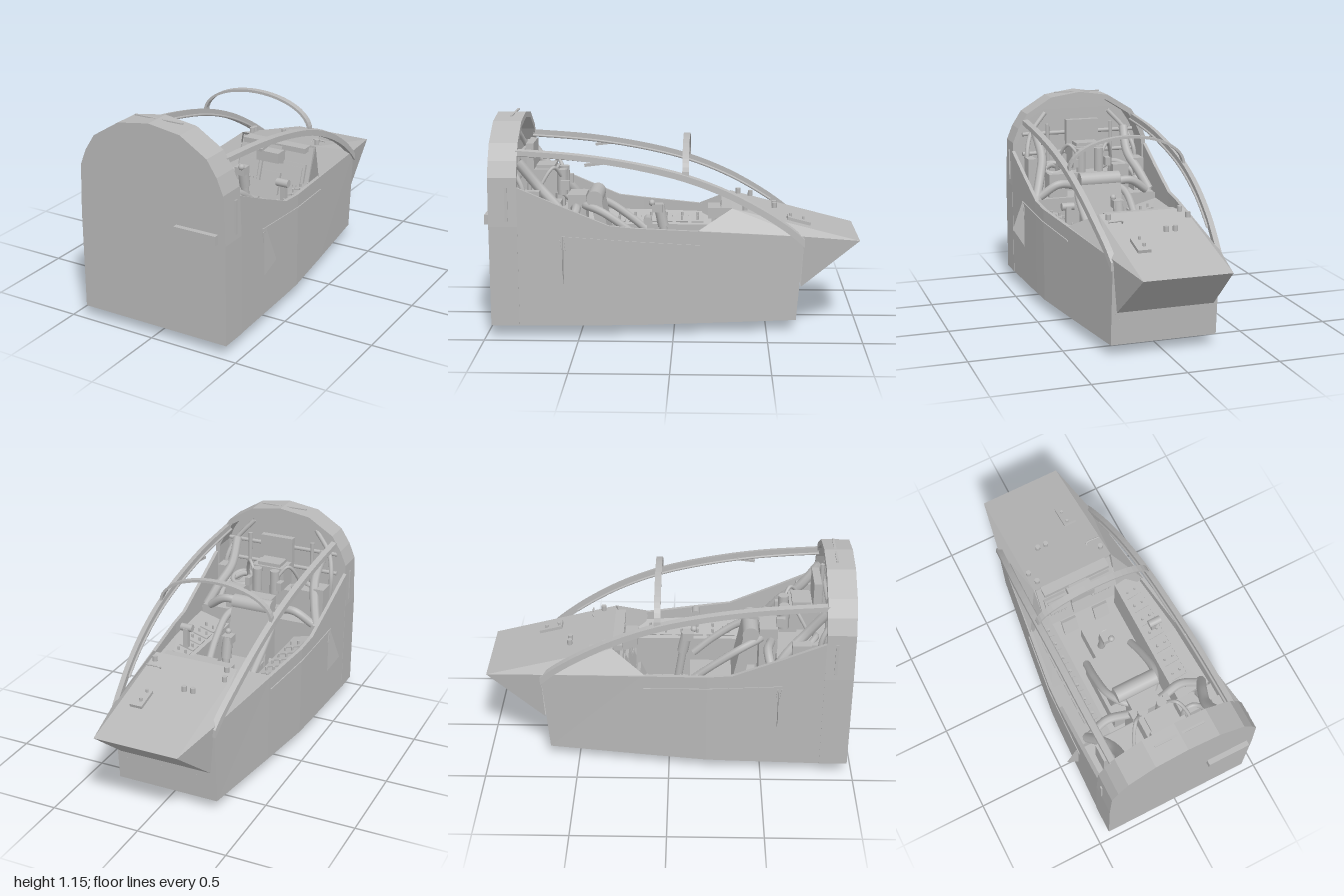
import * as THREE from 'three';

export function createModel() {
  const root = new THREE.Group();
  root.name = 'cockpit';
  const grey = new THREE.MeshStandardMaterial({ color: 0xb8b8b8, side: THREE.DoubleSide });
  grey.name = 'primer grey';

  const add = (name, geo, pos = [0, 0, 0], rot = [0, 0, 0]) => {
    const m = new THREE.Mesh(geo, grey);
    m.name = name;
    m.position.set(...pos);
    m.rotation.set(...rot);
    root.add(m);
    return m;
  };
  const box = (name, size, pos, rot) => add(name, new THREE.BoxGeometry(...size), pos, rot);
  const cyl = (name, r, h, pos, rot, n = 12) => add(name, new THREE.CylinderGeometry(r, r, h, n), pos, rot);
  const tube = (name, pts, r) => add(name, new THREE.TubeGeometry(
    new THREE.CatmullRomCurve3(pts.map(p => new THREE.Vector3(...p))), 28, r, 8));

  // flat-shaded polygons, each a fan of corners
  const faces = (name, polys) => {
    const v = [];
    for (const p of polys)
      for (let i = 1; i < p.length - 1; i++) v.push(...p[0], ...p[i], ...p[i + 1]);
    const g = new THREE.BufferGeometry();
    g.setAttribute('position', new THREE.Float32BufferAttribute(v, 3));
    g.computeVertexNormals();
    return add(name, g);
  };
  // skin through closed rings of points, with optional end caps
  const loft = (name, rings, caps = false) => {
    const polys = [];
    for (let i = 0; i < rings.length - 1; i++) {
      const a = rings[i], b = rings[i + 1];
      a.forEach((p, j) => {
        const k = (j + 1) % a.length;
        polys.push([p, a[k], b[k], b[j]]);
      });
    }
    if (caps) polys.push([...rings[0]].reverse(), rings[rings.length - 1]);
    return faces(name, polys);
  };
  const shapeOf = half => {
    const mirrored = half.filter(p => p[0] > 0).map(([x, y]) => [-x, y]).reverse();
    return new THREE.Shape([...half, ...mirrored].map(p => new THREE.Vector2(...p)));
  };

  // hull tub: z, half width, sill height
  const stations = [[0.82, 0.428, 0.81], [0.58, 0.42, 0.705], [0.34, 0.412, 0.605],
    [0.2, 0.405, 0.59], [-0.15, 0.36, 0.565], [-0.66, 0.29, 0.525]];
  loft('hull', stations.map(([z, w, s], i) => {
    const lean = i === stations.length - 1 ? 0.08 : 0, t = w - 0.02, f = 0.2;
    return [[-w, s], [-w, 0.06], [w, 0.06], [w, s], [t, s], [t, f], [-t, f], [-t, s]]
      .map(([x, y]) => [x, y, z - lean * (y - 0.06)]);
  }));
  faces('frontWall', [[[-0.29, 0.06, -0.66], [-0.29, 0.525, -0.697], [0.29, 0.525, -0.697], [0.29, 0.06, -0.66]]]);

  // rear hood shell with its closing bulkhead
  const arch = [[0.43, 0.06], [0.43, 0.6], [0.42, 0.86], [0.385, 0.945], [0.33, 1.03], [0.18, 1.123], [0, 1.15]];
  const inner = [[0.405, 0.09], [0.405, 0.6], [0.395, 0.85], [0.36, 0.93], [0.31, 1.005], [0.17, 1.093], [0, 1.118]];
  const hood = shapeOf(arch);
  hood.holes.push(shapeOf(inner));
  add('hood', new THREE.ExtrudeGeometry(hood, { depth: 0.15, bevelEnabled: false }), [0, 0, 0.82]);
  add('rearBulkhead', new THREE.ExtrudeGeometry(shapeOf(arch), { depth: 0.012, bevelEnabled: false }), [0, 0, 0.96]);
  box('rearStrip', [0.24, 0.05, 0.03], [0.27, 0.63, 0.985]);
  box('hoodTopStrip', [0.28, 0.006, 0.012], [0, 1.145, 0.88]);

  // cross frame that pokes through the hull
  add('crossFrame', new THREE.ShapeGeometry(shapeOf(
    [[0.245, 0], [0.49, 0.39], [0.43, 0.55]])), [0, 0, 0.58]);
  box('bellyFitting', [0.012, 0.05, 0.02], [0, 0.045, -0.035], [0.3, 0, 0]);

  // nose wedge and sloping glareshield
  const tip = x => [x * 0.235, 0.49, -1], low = x => [x * 0.265, 0.24, -0.685];
  const side = x => [x * 0.29, 0.525, -0.697], crest = x => [x * 0.24, 0.665, -0.31];
  const wing = x => [x * 0.355, 0.568, -0.13], foot = x => [x * 0.23, 0.34, -0.2];
  faces('noseUnderside', [[tip(-1), tip(1), low(1), low(-1)]]);
  faces('glareshield', [[tip(-1), crest(-1), crest(1), tip(1)]]);
  for (const x of [-1, 1]) {
    faces('noseCheek', [[tip(x), side(x), low(x)]]);
    faces('glareshieldSide', [[tip(x), side(x), crest(x)], [side(x), wing(x), crest(x)],
      [crest(x), wing(x), foot(x)]]);
  }

  // instrument panel, its brow and screens
  const px = 0.2, panel = new THREE.Group();
  panel.name = 'instrumentPanel';
  panel.position.set(0, 0.49, -0.26);
  panel.rotation.x = -0.32;
  root.add(panel);
  const onPanel = (name, size, x, y, z) => {
    const m = box(name, size, [x, y, z]);
    panel.add(m);
  };
  onPanel('panelPlate', [0.46, 0.34, 0.015], 0, 0, 0);
  for (const x of [-0.14, 0.14]) {
    onPanel('screenFrame', [0.13, 0.14, 0.025], x, 0, 0.012);
    onPanel('screen', [0.1, 0.1, 0.008], x, 0, 0.028);
    for (let i = -2; i <= 2; i++) onPanel('screenKey', [0.014, 0.01, 0.012], x + i * 0.022, -0.06, 0.028);
  }
  onPanel('centreUnit', [0.11, 0.1, 0.05], 0, 0.1, 0.03);
  onPanel('centreScreen', [0.11, 0.13, 0.03], 0, -0.07, 0.012);
  box('brow', [2 * px, 0.03, 0.07], [0, 0.645, -0.29]);
  box('sightUnit', [0.14, 0.06, 0.08], [0, 0.6, -0.22]);

  // fittings on the glareshield, which falls towards the tip
  const topY = z => 0.49 + (z + 1) * 0.2536;
  box('topPlate', [0.07, 0.018, 0.13], [0.135, topY(-0.675) + 0.008, -0.675], [-0.248, 0, 0]);
  for (const [x, z] of [[0.125, -0.7], [0.125, -0.63], [-0.1, -0.55], [-0.05, -0.55], [-0.22, -0.42], [-0.2, -0.35], [0.21, -0.38]])
    cyl('knob', z < -0.6 ? 0.008 : 0.014, 0.03, [x, topY(z) + 0.018, z]);
  tube('topRod', [[0.15, topY(-0.43) + 0.005, -0.43], [0.155, topY(-0.44) + 0.02, -0.44], [0.23, topY(-0.44) + 0.02, -0.44]], 0.005);

  // canopy side rails: z, half spacing, top height
  const railPath = new THREE.CatmullRomCurve3([[0.345, 1.0, 0.83], [0.345, 0.975, 0.5], [0.34, 0.93, 0.2],
    [0.335, 0.868, -0.06], [0.325, 0.775, -0.3], [0.31, 0.665, -0.5], [0.295, 0.575, -0.63], [0.288, 0.515, -0.7]]
    .map(p => new THREE.Vector3(...p)));
  for (const s of [-1, 1]) {
    loft('canopyRail', railPath.getPoints(28).map((p, i) => {
      const h = 0.032 + i * 0.0006;
      return [[p.x + 0.012, p.y - 0.006], [p.x - 0.018, p.y], [p.x - 0.018, p.y - h], [p.x + 0.014, p.y - h]]
        .map(([x, y]) => [s * x, y, p.z]);
    }), true);
    tube('innerRail', railPath.getPoints(12).slice(0, 10).map(p => [s * (p.x - 0.022), p.y - 0.035, p.z]), 0.007);
    box('railLatch', [0.02, 0.015, 0.1], [s * 0.33, 0.92, 0.42], [0.12, 0, 0]);
    box('hoodSideStrip', [0.008, 0.18, 0.015], [s * 0.432, 0.72, 0.875]);
    // thin slot strip along the hull side, following its bend
    const strip = [[0.6, 0.42, 0.55], [0.2, 0.405, 0.52], [-0.14, 0.361, 0.492]];
    loft('sideStrip', strip.map(([z, x, y]) => [[x, y], [x + 0.006, y], [x + 0.006, y - 0.008], [x, y - 0.008]]
      .map(([a, b]) => [s * a, b, z])), true);
    for (const z of [0.575, 0.595]) box('sideTick', [0.008, 0.06, 0.005], [s * 0.422, 0.5, z], [0.12, 0, 0]);
  }

  // windscreen hoop
  loft('hoop', Array.from({ length: 25 }, (_, i) => {
    const a = Math.PI * i / 24, c = Math.cos(a), n = Math.sin(a);
    return [[0.336, 0.172, -0.08], [0.336, 0.172, -0.045], [0.322, 0.158, -0.045], [0.322, 0.158, -0.08]]
      .map(([rx, ry, z]) => [rx * c, 0.858 + ry * n, z]);
  }), true);

  // side consoles with switches
  for (const s of [-1, 1]) {
    loft('console', [[-0.2, 0.335], [0.2, 0.382], [0.56, 0.398]].map(([z, w]) =>
      [[0.21, 0.2], [0.21, 0.47], [w, 0.52], [w, 0.2]].map(([x, y]) => [s * x, y, z])), true);
    for (let i = 0; i < 7; i++) {
      const z = -0.12 + i * 0.09;
      box('switchPlate', [0.09, 0.008, 0.07], [s * 0.275, 0.492, z], [0, 0, s * 0.28]);
      for (const d of [-0.025, 0.02]) cyl('switch', 0.007, 0.025, [s * (0.275 + d), 0.505 + d * 0.28, z], [0, 0, 0], 8);
    }
  }
  box('throttleLever', [0.03, 0.12, 0.03], [0.28, 0.55, 0.13]);
  cyl('throttleGrip', 0.022, 0.07, [0.28, 0.61, 0.14], [0, 0, Math.PI / 2]);

  // control stick
  cyl('stickColumn', 0.022, 0.32, [0, 0.38, 0.05], [0.15, 0, 0]);
  cyl('stickGrip', 0.03, 0.12, [0, 0.57, 0.08], [0.2, 0, 0]);
  box('stickHead', [0.06, 0.045, 0.06], [0, 0.615, 0.1]);
  add('stickButton', new THREE.SphereGeometry(0.018, 10, 8), [0.015, 0.645, 0.13]);
  box('pedestal', [0.12, 0.12, 0.2], [0, 0.26, 0]);
  for (const x of [-0.1, 0.1]) box('pedal', [0.09, 0.1, 0.02], [x, 0.3, -0.16], [-0.4, 0, 0]);

  // ejection seat
  box('seatBase', [0.28, 0.14, 0.36], [0, 0.27, 0.3]);
  box('seatCushion', [0.23, 0.05, 0.26], [0, 0.36, 0.24]);
  box('seatBack', [0.24, 0.36, 0.06], [0, 0.52, 0.4], [0.2, 0, 0]);
  cyl('shoulderPad', 0.045, 0.24, [0, 0.685, 0.44], [0, 0, Math.PI / 2], 18);
  for (const s of [-1, 1])
    tube('seatSideBar', [[s * 0.14, 0.42, 0.13], [s * 0.15, 0.52, 0.25], [s * 0.14, 0.62, 0.4], [s * 0.08, 0.64, 0.49], [0, 0.62, 0.51]], 0.022);
  box('seatSpine', [0.16, 0.5, 0.1], [0, 0.45, 0.54]);
  box('headBox', [0.2, 0.13, 0.13], [0, 0.78, 0.71]);
  box('headBoxTop', [0.14, 0.03, 0.1], [0, 0.85, 0.71]);
  for (const s of [-1, 1]) {
    cyl('headCanister', 0.028, 0.14, [s * 0.055, 0.77, 0.62]);
    box('headBracket', [0.03, 0.05, 0.05], [s * 0.1, 0.76, 0.6]);
  }
  box('headrest', [0.2, 0.21, 0.04], [0, 0.885, 0.79]);

  // rear equipment deck
  box('rearDeck', [0.79, 0.03, 0.37], [0, 0.54, 0.77]);
  box('deckStep', [0.5, 0.12, 0.1], [0, 0.6, 0.82]);
  for (const [x, w, h, z] of [[-0.22, 0.1, 0.16, 0.74], [0.2, 0.11, 0.14, 0.66], [-0.32, 0.06, 0.2, 0.7], [0.33, 0.05, 0.22, 0.76]])
    box('equipmentBox', [w, h, 0.1], [x, 0.555 + h / 2, z]);
  for (const y of [0.78, 0.9]) cyl('crossPipe', 0.012, 0.7, [0, y, 0.87], [0, 0, Math.PI / 2], 8);
  for (const s of [-1, 1]) {
    // hoses and cable bundles either side
    tube('mainHose', [[s * 0.33, 0.58, 0.55], [s * 0.22, 0.65, 0.53], [s * 0.1, 0.63, 0.55], [0, 0.6, 0.56]], 0.025);
    tube('sideHose', [[s * 0.35, 0.58, 0.55], [s * 0.31, 0.68, 0.62], [s * 0.27, 0.78, 0.72], [s * 0.28, 0.92, 0.83]], 0.028);
    tube('rearHose', [[s * 0.3, 0.58, 0.6], [s * 0.29, 0.67, 0.7], [s * 0.2, 0.72, 0.78], [s * 0.1, 0.68, 0.79]], 0.018);
    tube('cable', [[s * 0.07, 0.8, 0.62], [s * 0.12, 0.86, 0.66], [s * 0.16, 0.78, 0.72], [s * 0.17, 0.66, 0.77]], 0.01);
    tube('hoodCable', [[s * 0.33, 0.6, 0.8], [s * 0.34, 0.78, 0.8], [s * 0.3, 0.9, 0.86], [s * 0.2, 1.02, 0.9]], 0.014);
    cyl('hoodPost', 0.012, 0.4, [s * 0.2, 0.76, 0.84], [0, 0, 0], 8);
  }
  add('hoseCoil', new THREE.TorusGeometry(0.06, 0.014, 8, 20), [0.2, 0.71, 0.73], [1.2, 0, 0]);
  return root;
}
